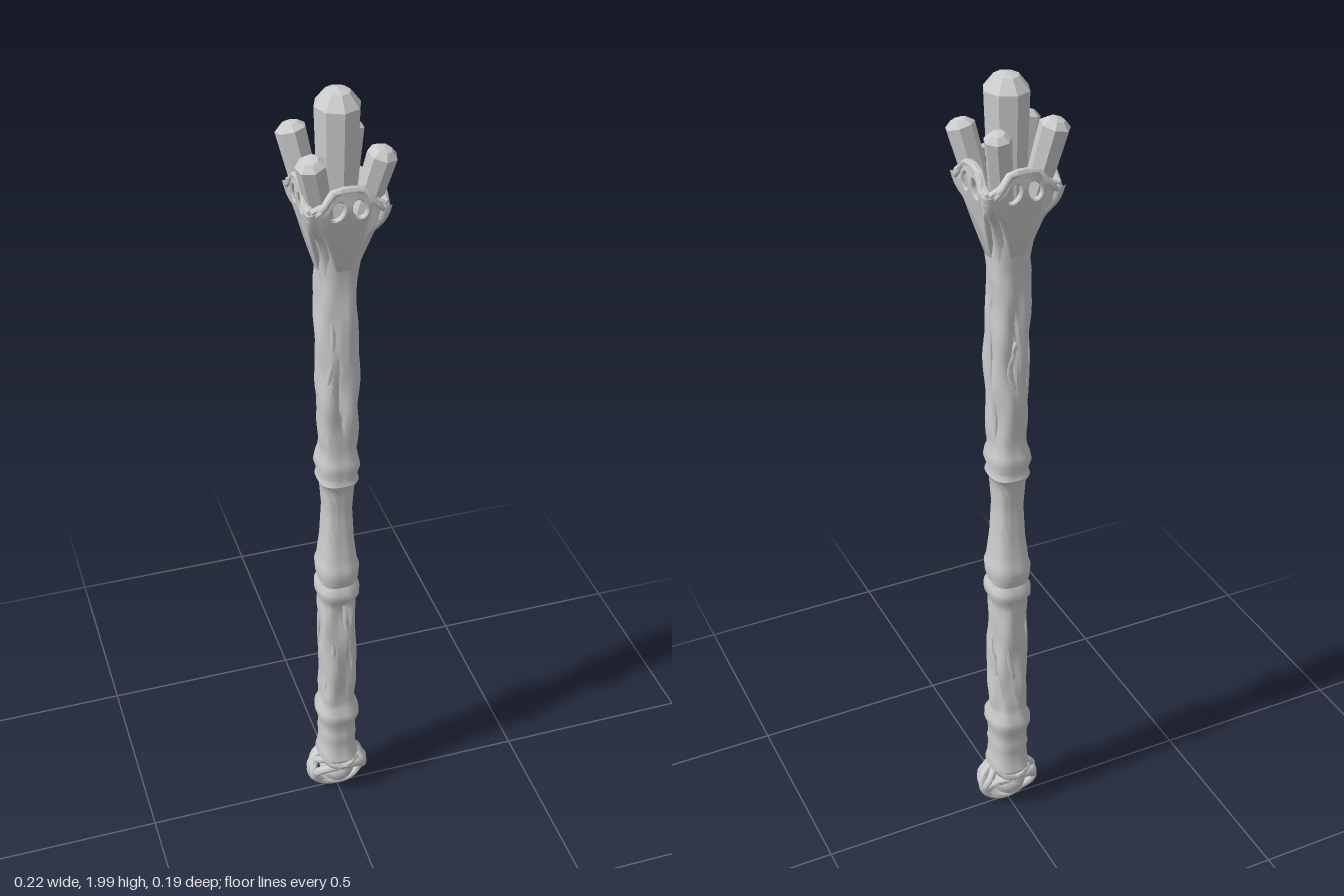
import * as THREE from 'three';
import { toCreasedNormals } from 'three/addons/utils/BufferGeometryUtils.js';

const V = (x, y, z) => new THREE.Vector3(x, y, z);

export function createModel() {
  const staff = new THREE.Group();
  staff.name = 'staff';
  const grey = new THREE.MeshStandardMaterial({ color: 0xcccccc });
  grey.name = 'pale grey';

  const add = (name, geometry, crease = 0.6, parent = staff) => {
    const mesh = new THREE.Mesh(toCreasedNormals(geometry, crease), grey);
    mesh.name = name;
    parent.add(mesh);
    return mesh;
  };
  const tube = (name, points, r, closed = false, parent = staff) =>
    add(name, new THREE.TubeGeometry(new THREE.CatmullRomCurve3(points, closed), closed ? 40 : 14, r, 7, closed), 0.9, parent);
  // Move every vertex by a rule
  const bend = (geometry, rule) => {
    const p = geometry.attributes.position, v = V(0, 0, 0);
    for (let i = 0; i < p.count; i++) {
      rule(v.fromBufferAttribute(p, i));
      p.setXYZ(i, v.x, v.y, v.z);
    }
    return geometry;
  };

  // Shaft: collared profile as [height, radius], with grooved bark between collars
  const profile = [
    [0.115, 0], [0.12, 0.046], [0.14, 0.055], [0.16, 0.05], [0.2, 0.047], [0.215, 0.05], [0.23, 0.047],
    [0.265, 0.049], [0.285, 0.057], [0.305, 0.056], [0.325, 0.046], [0.5, 0.047], [0.68, 0.046],
    [0.695, 0.055], [0.715, 0.055], [0.732, 0.047], [0.75, 0.052], [0.78, 0.054], [0.795, 0.049],
    [0.86, 0.041], [0.95, 0.036], [1.02, 0.041], [1.04, 0.051], [1.055, 0.046], [1.08, 0.054],
    [1.1, 0.05], [1.12, 0.045], [1.25, 0.048], [1.42, 0.048], [1.58, 0.047], [1.62, 0.049],
    [1.66, 0.053], [1.7, 0.058], [1.705, 0]];
  const rows = [];
  profile.forEach(([y, r], i) => {
    const [y0, r0] = profile[Math.max(i - 1, 0)];
    const n = Math.max(1, Math.round((y - y0) / 0.02));
    for (let k = 1; k <= n; k++) {
      const t = k / n;
      rows.push(new THREE.Vector2(r0 + (r - r0) * t, y0 + (y - y0) * t));
    }
  });
  const within = (y, a, b) =>
    THREE.MathUtils.smoothstep(y, a, a + 0.05) * (1 - THREE.MathUtils.smoothstep(y, b - 0.05, b));
  const bark = v => {
    const r = Math.hypot(v.x, v.z);
    if (r < 0.001) return;
    const a = Math.atan2(v.x, v.z), y = v.y;
    const rough = within(y, 0.31, 0.7) + within(y, 1.1, 1.6);
    let d = 0.003 * Math.sin(3 * a + 9 * y) + 0.002 * Math.sin(5 * a - 21 * y) + 0.0015 * Math.sin(2 * a + 47 * y);
    for (let i = 0; i < 6; i++) {
      const line = i * Math.PI / 3 + 0.22 * Math.sin(13 * y + i * 2.1);
      const gap = Math.abs(Math.atan2(Math.sin(a - line), Math.cos(a - line)));
      const length = Math.max(0, Math.sin(11 * y + i * 1.7) + 0.2);
      d -= 0.007 * Math.max(0, 1 - gap / 0.24) * Math.min(1, length);
    }
    const square = -0.0025 * Math.cos(4 * a);
    const s = (r + d * rough + square) / r;
    v.x *= s;
    v.z *= s * 1.1;
  };
  add('shaft', bend(new THREE.LatheGeometry(rows, 36), bark), 0.7);

  // Raised bark strands along the two rough sections
  [[0.33, 0.67], [1.13, 1.5]].forEach(([low, high], s) => {
    for (let i = 0; i < 5; i++) {
      const points = [];
      const start = low + 0.04 * ((i * 3 + s) % 4), end = high - 0.05 * ((i * 2 + s) % 3);
      for (let k = 0; k <= 5; k++) {
        const t = k / 5, a = i * 1.257 + 0.5 + 0.25 * Math.sin(t * 5 + i);
        const r = 0.036 + 0.006 * Math.sin(t * Math.PI);
        points.push(V(r * Math.sin(a), start + (end - start) * t, r * Math.cos(a) * 1.12));
      }
      tube('barkStrand', points, 0.008);
    }
  });

  // Crystals: many-sided prisms with blunt faceted tips
  const crystal = (name, base, tip, r, sides, point, stretch = 1) => {
    const axis = tip.clone().sub(base), h = axis.length();
    const outline = [[0, 0], [r * 0.8, 0], [r, h - point], [r * 0.55, h - point * 0.2], [0, h]]
      .map(([x, y]) => new THREE.Vector2(x, y));
    const mesh = add(name, new THREE.LatheGeometry(outline, sides), 0.1);
    mesh.scale.z = stretch;
    mesh.position.copy(base);
    mesh.quaternion.setFromUnitVectors(V(0, 1, 0), axis.normalize());
  };
  crystal('centreCrystal', V(0, 1.66, 0), V(0.002, 2, -0.001), 0.05, 8, 0.036, 1.08);
  [[-0.082, 1.91, -0.066, 0.034], [0.052, 1.9, -0.063, 0.03],
    [0.081, 1.89, 0.068, 0.033], [-0.078, 1.887, 0.068, 0.033]].forEach(([x, y, z, r]) =>
    crystal('cornerCrystal', V(x * 0.45, 1.69, z * 0.45), V(x, y, z), r, 7, 0.016));

  // Crown: four pierced shields leaning outwards, with a prong at each corner
  const half = [[0.012, 1.6], [0.03, 1.66], [0.05, 1.715], [0.08, 1.75], [0.078, 1.775], [0.055, 1.785], [0.035, 1.81], [0.012, 1.815]];
  const shield = new THREE.Shape([...half, ...half.map(([x, y]) => [-x, y]).reverse()]
    .map(([x, y]) => new THREE.Vector2(x, y)));
  for (const s of [-1, 1]) {
    const eye = new THREE.Path();
    eye.absellipse(s * 0.024, 1.768, 0.018, 0.025, 0, Math.PI * 2, true, s * 0.35);
    shield.holes.push(eye);
  }
  const lean = v => {
    const t = (v.y - 1.6) / 0.2;
    v.z += 0.036 + 0.045 * Math.min(t, 0.85) + 0.004 * Math.sin(t * 3);
  };
  for (let i = 0; i < 4; i++) {
    const side = new THREE.Group();
    side.name = 'crownSide';
    side.rotation.y = i * Math.PI / 2;
    staff.add(side);
    const plate = new THREE.ExtrudeGeometry(shield, { depth: 0.009, bevelEnabled: true, bevelThickness: 0.003, bevelSize: 0.003, bevelSegments: 1, curveSegments: 8 });
    add('crownShield', bend(plate, lean), 0.7, side);
    tube('crownBrow', [V(-0.085, 1.755, 0.082), V(-0.055, 1.78, 0.086), V(-0.03, 1.807, 0.081),
      V(0.03, 1.807, 0.081), V(0.055, 1.78, 0.086), V(0.085, 1.755, 0.082)], 0.008, false, side);
    tube('crownProng', [V(0.026, 1.58, 0.026), V(0.036, 1.65, 0.036), V(0.052, 1.7, 0.052),
      V(0.074, 1.74, 0.074), V(0.083, 1.775, 0.082)], 0.013, false, side);
  }

  // Pommel: ball held inside a ring of twisted strands
  const ball = add('pommelBall', new THREE.SphereGeometry(0.046, 20, 14), 1);
  ball.position.y = 0.08;
  ball.scale.z = 1.08;
  const loop = (name, r, wave, phase, thick) => {
    const points = [];
    for (let k = 0; k < 16; k++) {
      const a = k / 16 * Math.PI * 2;
      const swell = wave * (0.6 + 0.4 * Math.sin(a));
      points.push(V(r * Math.cos(a), 0.08 + r * 0.86 * Math.sin(a), swell * Math.sin(2 * a + phase)));
    }
    tube(name, points, thick, true);
  };
  loop('pommelRing', 0.071, 0.008, 0, 0.012);
  loop('pommelStrand', 0.069, 0.034, 1, 0.01);
  loop('pommelStrand', 0.069, 0.034, 1 + Math.PI, 0.01);

  // Claws gripping the ball from front and back
  for (const s of [-1, 1]) for (const m of [-1, 1])
    tube('pommelClaw', [V(m * 0.04, 0.14, s * 0.036), V(m * 0.022, 0.125, s * 0.047),
      V(-m * 0.012, 0.115, s * 0.047), V(-m * 0.05, 0.1, s * 0.034), V(-m * 0.068, 0.07, s * 0.012)], 0.011);

  return staff;
}
